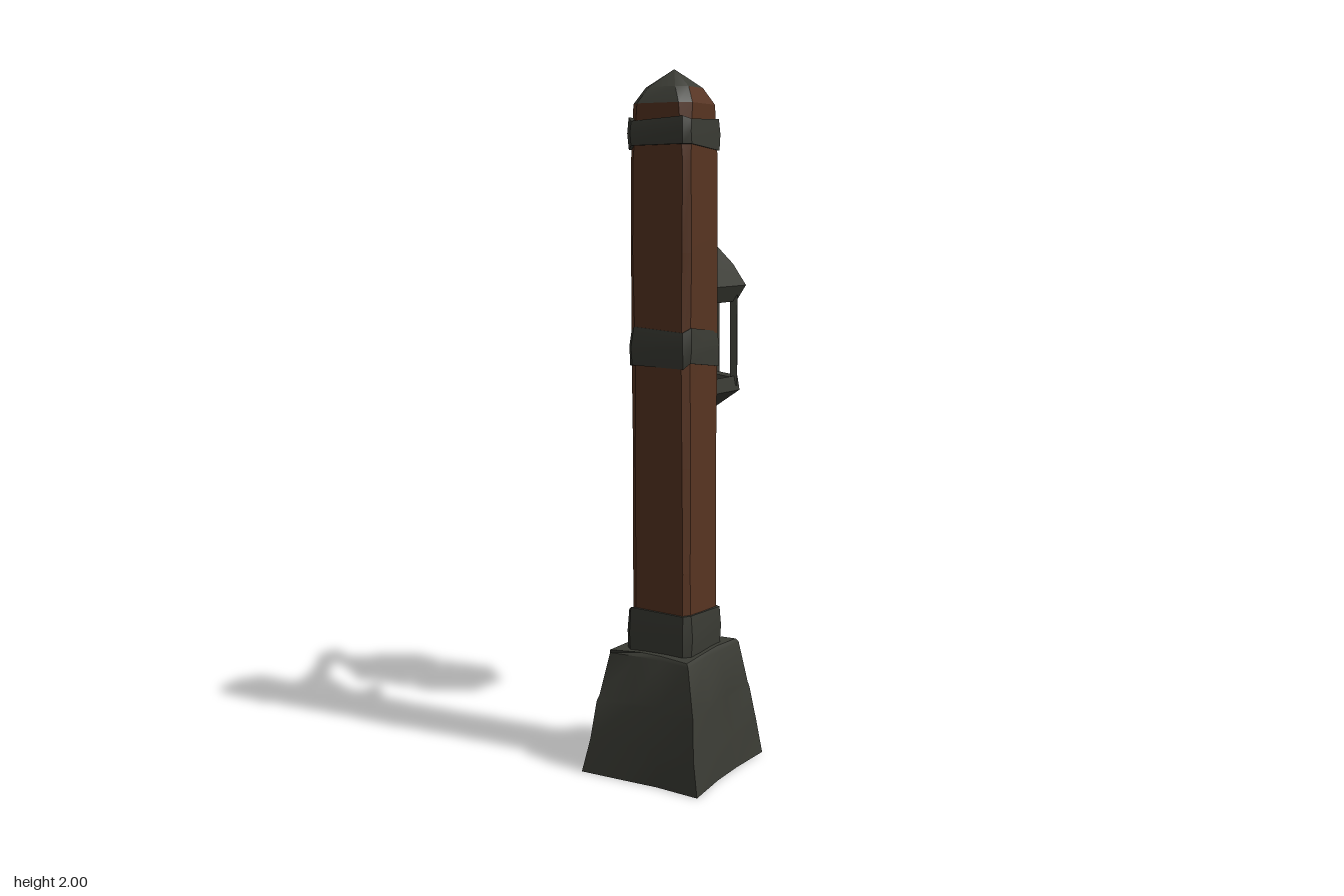
import * as THREE from 'three';
import { toCreasedNormals } from 'three/addons/utils/BufferGeometryUtils.js';

const stoneMat = new THREE.MeshStandardMaterial({ color: 0x3a3b34 });
stoneMat.name = 'dark grey iron and stone';
const woodMat = new THREE.MeshStandardMaterial({ color: 0x573421 });
woodMat.name = 'brown wood';
const candleMat = new THREE.MeshStandardMaterial({ color: 0xd08a30 });
candleMat.name = 'orange candle';

const V = (x, y, z) => new THREE.Vector3(x, y, z);

// Seeded jitter in the range -a..a
let seed = 7;
function jitter(a) {
  seed = (seed * 16807) % 2147483647;
  return (seed / 2147483647 * 2 - 1) * a;
}

function part(name, geometry, material, crease = 0.6) {
  const mesh = new THREE.Mesh(toCreasedNormals(geometry, crease), material);
  mesh.name = name;
  return mesh;
}

// Skin a stack of rings (bottom to top); keep() selects faces, caps close the ends
function loft(rings, caps = true, keep = () => true) {
  const pos = [];
  const tri = (...pts) => pts.forEach(p => pos.push(p.x, p.y, p.z));
  const n = rings[0].length;
  for (let r = 0; r < rings.length - 1; r++) {
    for (let i = 0; i < n; i++) {
      if (!keep(r, i)) continue;
      const j = (i + 1) % n;
      const a = rings[r][i], b = rings[r][j], c = rings[r + 1][j], d = rings[r + 1][i];
      tri(a, d, b);
      tri(b, d, c);
    }
  }
  if (caps) {
    [rings[0], rings[rings.length - 1]].forEach((ring, top) => {
      const mid = ring.reduce((s, p) => s.add(p), V(0, 0, 0)).divideScalar(n);
      ring.forEach((p, i) => {
        const q = ring[(i + 1) % n];
        if (top) tri(mid, q, p); else tri(mid, p, q);
      });
    });
  }
  const g = new THREE.BufferGeometry();
  g.setAttribute('position', new THREE.Float32BufferAttribute(pos, 3));
  return g;
}

// Square ring with cut corners
function squareRing(h, y, cut = 0.18, rough = 0, roughY = 0) {
  const k = h * (1 - cut);
  return [[h, -k], [h, k], [k, h], [-k, h], [-h, k], [-h, -k], [-k, -h], [k, -h]]
    .map(([x, z]) => V(x + jitter(rough), y + jitter(roughY), z + jitter(rough)));
}

// Tube along points whose radius follows a list of values
function taperedTube(points, radii, seg = 12, sides = 6) {
  const curve = new THREE.CatmullRomCurve3(points);
  const g = new THREE.TubeGeometry(curve, seg, 1, sides);
  const pos = g.attributes.position;
  const p = V(0, 0, 0);
  for (let i = 0; i <= seg; i++) {
    const c = curve.getPointAt(i / seg);
    const f = i / seg * (radii.length - 1);
    const k = Math.min(Math.floor(f), radii.length - 2);
    const r = THREE.MathUtils.lerp(radii[k], radii[k + 1], f - k);
    for (let j = 0; j <= sides; j++) {
      const id = i * (sides + 1) + j;
      p.fromBufferAttribute(pos, id).sub(c).multiplyScalar(r).add(c);
      pos.setXYZ(id, p.x, p.y, p.z);
    }
  }
  return g;
}

// Six-sided turned shape with corners on the x axis
function hexLathe(profile) {
  return new THREE.LatheGeometry(profile.map(([r, y]) => new THREE.Vector2(r, y)), 6, Math.PI / 6);
}

function createBase() {
  // Rough stone foot tapering from four uneven corners
  const corners = [[0.255, -0.115], [0.095, 0.262], [-0.257, 0.098], [-0.09, -0.26]];
  const levels = [[0.005, 1], [0.1, 0.92], [0.21, 0.84], [0.225, 0.81], [0.35, 0.7], [0.36, 0.67]];
  const rings = levels.map(([y, s], level) => {
    const ring = [];
    corners.forEach(([x, z], i) => {
      const [u, w] = corners[(i + 1) % 4];
      const rough = level ? 0.006 : 0;
      ring.push(V(x * s + jitter(rough), y, z * s + jitter(rough)));
      for (const t of [0.35, 0.65]) {
        const m = s * (0.96 + jitter(0.03));
        ring.push(V((x + (u - x) * t) * m, y + (level ? jitter(0.004) : 0), (z + (w - z) * t) * m));
      }
    });
    return ring;
  });
  rings[0].forEach(p => { p.y = 0; });
  const base = part('stoneBase', loft(rings), stoneMat);
  base.position.z = 0.148;
  return base;
}

function createPost() {
  const post = new THREE.Group();
  post.name = 'post';
  post.position.set(0.003, 0, 0.148);
  post.rotation.y = -0.4;

  // Slightly uneven wooden shaft
  const shaft = [0.34, 0.6, 0.9, 1.2, 1.5, 1.75].map(y => squareRing(0.094, y, 0.18, 0.003));
  shaft.push(squareRing(0.093, 1.905, 0.3));
  post.add(part('woodenShaft', loft(shaft), woodMat));

  // Collar and iron bands
  const bands = [['collar', 0.35, 0.475, 0.107], ['middleBand', 1.185, 1.285, 0.1], ['topBand', 1.785, 1.865, 0.102]];
  for (const [name, low, high, h] of bands) {
    const rings = [squareRing(h - 0.003, low, 0.18, 0.002, 0.012), squareRing(h, (low + high) / 2, 0.18, 0.002),
      squareRing(h - 0.004, high, 0.18, 0.002, 0.012)];
    post.add(part(name, loft(rings), stoneMat));
  }

  // Pointed cap with bare wood at two corners
  const cap = [squareRing(0.093, 1.905, 0.3), squareRing(0.068, 1.95, 0.4), squareRing(0.001, 2, 0.4)];
  const bare = (r, i) => (r === 0 && [0, 5, 7].includes(i)) || (r === 1 && i === 7);
  post.add(part('capMetal', loft(cap, false, (r, i) => !bare(r, i)), stoneMat));
  post.add(part('capWood', loft(cap, false, bare), woodMat));

  // Mounting plate on the back
  const plate = part('mountingPlate', new THREE.BoxGeometry(0.07, 0.37, 0.04), stoneMat);
  plate.position.set(0, 1.59, -0.103);
  post.add(plate);
  return post;
}

function createBracket() {
  const bracket = new THREE.Group();
  bracket.name = 'bracket';
  const arm = [V(0.035, 1.73, 0.07), V(0.042, 1.735, -0.02), V(0.046, 1.765, -0.14), V(0.05, 1.8, -0.24),
    V(0.05, 1.795, -0.305), V(0.04, 1.74, -0.31)];
  bracket.add(part('arm', taperedTube(arm, [0.036, 0.034, 0.028, 0.025, 0.025, 0.024, 0], 18), stoneMat));
  const brace = [V(0.045, 1.6, 0.03), V(0.045, 1.67, -0.01), V(0.045, 1.76, -0.07)];
  bracket.add(part('brace', taperedTube(brace, [0.024, 0.018, 0.016], 5, 5), stoneMat));
  const spike = [V(0.04, 1.43, 0.05), V(0.045, 1.435, 0), V(0.05, 1.442, -0.06)];
  bracket.add(part('spike', taperedTube(spike, [0.03, 0.024, 0], 4, 5), stoneMat));
  // Bent hook carrying the lantern
  const hook = [V(0.04, 1.76, -0.31), V(0.025, 1.7, -0.285), V(0, 1.64, -0.255), V(0, 1.6, -0.26)];
  bracket.add(part('hook', taperedTube(hook, [0.018, 0.016, 0.016, 0.02], 8, 5), stoneMat));
  const loop = [V(-0.005, 1.62, -0.26), V(-0.015, 1.69, -0.235), V(-0.005, 1.745, -0.23), V(0.02, 1.74, -0.26), V(0.03, 1.7, -0.285)];
  bracket.add(part('hookLoop', taperedTube(loop, [0.014, 0.014, 0.014], 10, 5), stoneMat));
  return bracket;
}

function createLantern() {
  const lantern = new THREE.Group();
  lantern.name = 'lantern';
  lantern.position.set(0.003, 0, -0.262);
  lantern.rotation.y = 0.04;
  lantern.add(part('lanternRoof', hexLathe([[0, 1.345], [0.145, 1.335], [0.175, 1.385], [0.135, 1.45],
    [0.08, 1.51], [0.042, 1.545], [0.068, 1.592], [0.025, 1.63], [0, 1.635]]), stoneMat));
  lantern.add(part('lanternTray', hexLathe([[0, 0.92], [0.02, 0.955], [0.055, 0.988], [0.157, 1.06],
    [0.15, 1.105], [0.125, 1.1], [0.115, 1.085], [0, 1.085]]), stoneMat));

  // Corner posts
  for (let i = 0; i < 6; i++) {
    const a = i * Math.PI / 3;
    const bar = part('lanternBar', new THREE.BoxGeometry(0.022, 0.28, 0.034), stoneMat);
    bar.position.set(Math.cos(a) * 0.138, 1.215, Math.sin(a) * 0.138);
    bar.rotation.y = -a;
    lantern.add(bar);
  }

  // Tall pointed candle and a short one
  const tall = part('tallCandle', new THREE.LatheGeometry([[0, 1.08], [0.028, 1.08], [0.024, 1.21],
    [0.012, 1.25], [0, 1.285]].map(([r, y]) => new THREE.Vector2(r, y)), 6), candleMat);
  tall.position.set(-0.015, 0, 0.025);
  const short = part('shortCandle', new THREE.CylinderGeometry(0.024, 0.027, 0.13, 6), candleMat);
  short.position.set(0.02, 1.145, -0.035);
  lantern.add(tall, short);
  return lantern;
}

export function createModel() {
  const model = new THREE.Group();
  model.name = 'lanternPost';
  model.add(createBase(), createPost(), createBracket(), createLantern());
  return model;
}
